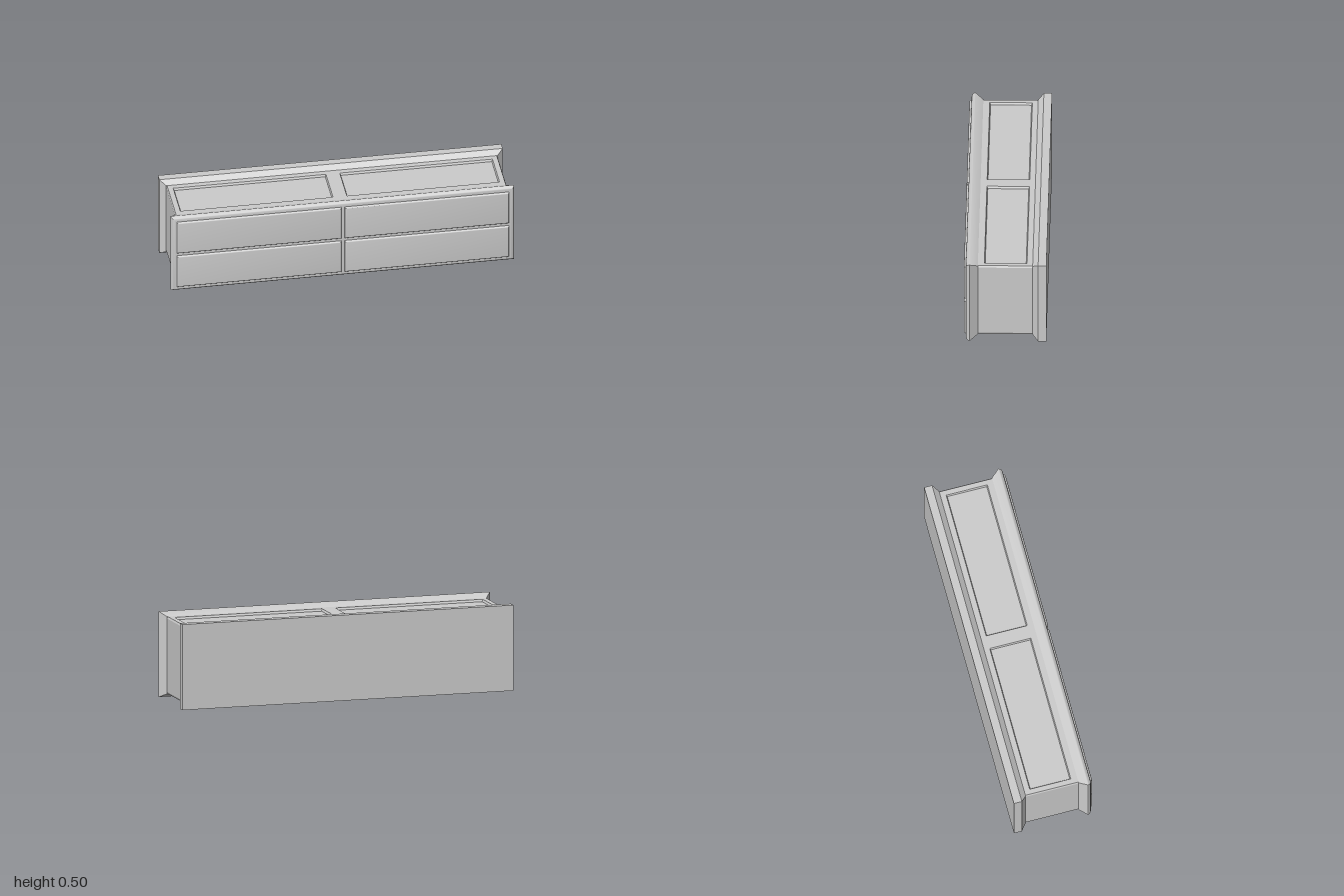
import * as THREE from 'three';
import { toCreasedNormals } from 'three/addons/utils/BufferGeometryUtils.js';

const material = new THREE.MeshStandardMaterial({ color: 0xcccccc });

function add(parent, name, geometry, x = 0, y = 0, z = 0) {
  const mesh = new THREE.Mesh(geometry, material);
  mesh.name = name;
  mesh.position.set(x, y, z);
  parent.add(mesh);
  return mesh;
}

// Solid made of rectangles stacked along z; each layer is [z, halfWidth, halfHeight]
function rectLoft(layers) {
  const pos = [], index = [];
  for (const [z, w, h] of layers) pos.push(-w, -h, z, w, -h, z, w, h, z, -w, h, z);
  for (let i = 0; i < layers.length - 1; i++) {
    for (let k = 0; k < 4; k++) {
      const a = i * 4 + k, b = i * 4 + (k + 1) % 4;
      index.push(a, b, b + 4, a, b + 4, a + 4);
    }
  }
  const e = (layers.length - 1) * 4;
  index.push(0, 2, 1, 0, 3, 2, e, e + 1, e + 2, e, e + 2, e + 3);
  const g = new THREE.BufferGeometry();
  g.setAttribute('position', new THREE.Float32BufferAttribute(pos, 3));
  g.setIndex(index);
  return toCreasedNormals(g, 0.6);
}

// Quarter-round layers from z0 to z1, drawing the edges in by inset
function roundedLayers(z0, z1, w, h, inset, steps = 8) {
  return Array.from({ length: steps + 1 }, (_, i) => {
    const t = (i / steps) * Math.PI / 2, d = inset * (1 - Math.cos(t));
    return [z0 + (z1 - z0) * Math.sin(t), w - d, h - d];
  });
}

function rect(path, x0, x1, z0, z1) {
  path.moveTo(x0, z0);
  path.lineTo(x1, z0);
  path.lineTo(x1, z1);
  path.lineTo(x0, z1);
  path.closePath();
  return path;
}

export function createModel() {
  const model = new THREE.Group();
  model.name = 'drawerBlock';
  const midY = 0.25, bodyW = 0.965, bodyH = 0.2255, bevel = 0.011;

  // Body frame with two vertical wells and chamfered edges
  const frame = rect(new THREE.Shape(), -bodyW, bodyW, -0.17, 0.17);
  const wells = [[-0.925, -0.045], [0.045, 0.925]];
  for (const [x0, x1] of wells) frame.holes.push(rect(new THREE.Path(), x0, x1, -0.115, 0.12));
  const body = new THREE.ExtrudeGeometry(frame, {
    depth: 2 * (bodyH - bevel), bevelEnabled: true, bevelSegments: 1,
    bevelThickness: bevel, bevelSize: 0.005, bevelOffset: -0.005,
  });
  body.rotateX(-Math.PI / 2);
  add(model, 'bodyFrame', body, 0, midY - bodyH + bevel, 0);

  // Sunken top panels closing the wells, leaving them open below
  for (const [x0, x1] of wells) {
    add(model, 'topPanel', new THREE.BoxGeometry(x1 - x0 + 0.01, 0.02, 0.245),
      (x0 + x1) / 2, 0.452, -0.0025);
  }

  // Back slab with flared neck
  add(model, 'backSlab', rectLoft([
    [-0.237, 1, 0.25], [-0.19, 1, 0.25], [-0.158, bodyW, bodyH],
  ]), 0, midY, 0);

  // Front plate with flared neck and rounded rim
  add(model, 'frontPlate', rectLoft([
    [0.157, bodyW, bodyH], ...roundedLayers(0.203, 0.225, 1, 0.25, 0.022),
  ]), 0, midY, 0);

  // Four raised drawer fronts
  for (const x of [-0.489, 0.489]) {
    for (const y of [0.136, 0.365]) {
      add(model, 'drawerFront', rectLoft([
        [0.22, 0.479, 0.105], ...roundedLayers(0.227, 0.237, 0.479, 0.105, 0.01, 5),
      ]), x, y, 0);
    }
  }
  return model;
}
